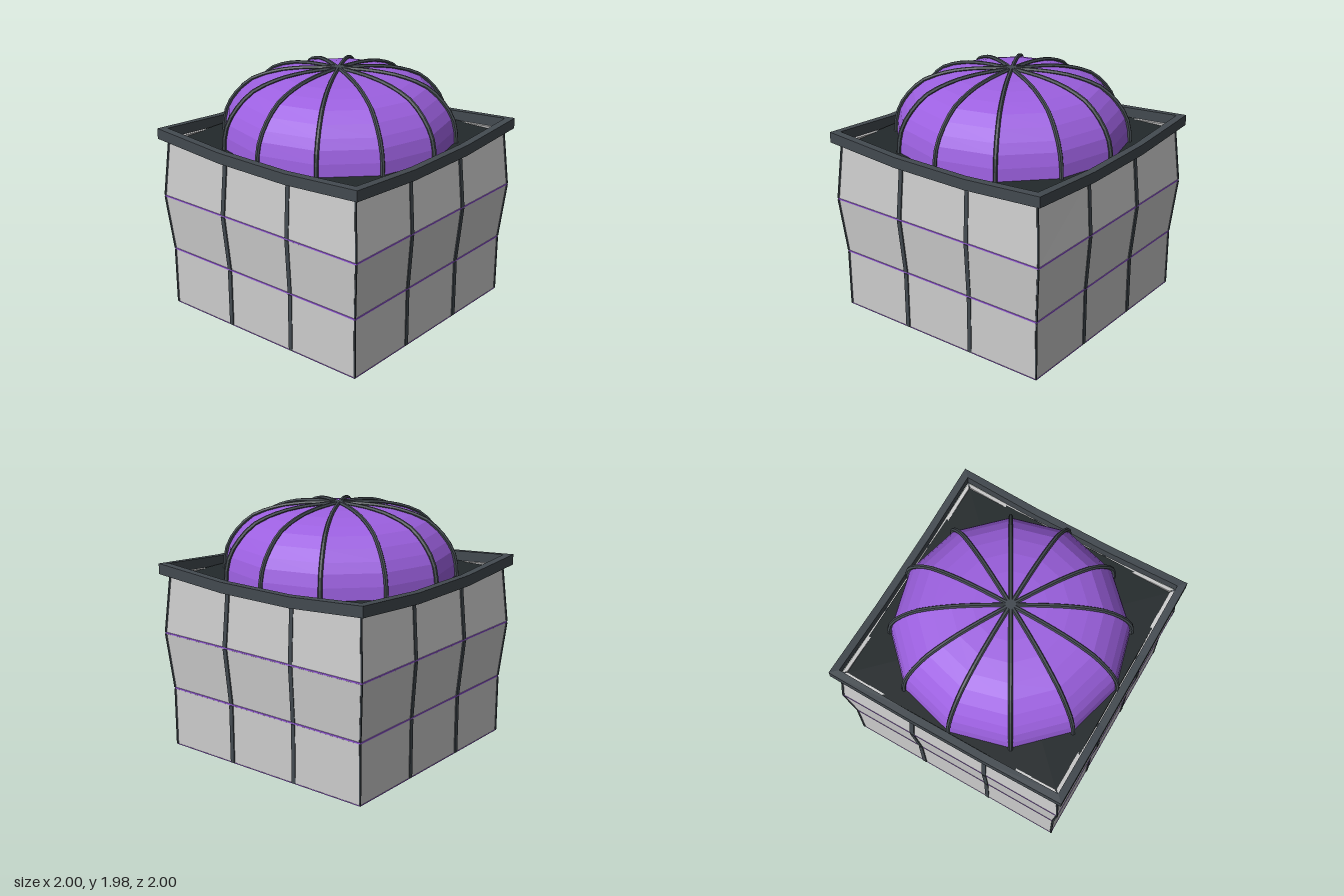
import * as THREE from 'three';

const mat = (color) => new THREE.MeshStandardMaterial({ color, flatShading: true });
const PANEL = mat(0xcccccc);
const FRAME = mat(0x42494f);
const DARK = mat(0x23292b);
const PURPLE = mat(0x9c60e0);

// Half width of the square body at each height
const PROFILE = [[0, 0.938], [0.485, 0.938], [0.95, 0.978], [1.43, 0.938]];
function halfWidth(y) {
  for (let i = 1; i < PROFILE.length; i++) {
    const [y0, w0] = PROFILE[i - 1], [y1, w1] = PROFILE[i];
    if (y <= y1) return w0 + (w1 - w0) * (y - y0) / (y1 - y0);
  }
  return PROFILE[PROFILE.length - 1][1];
}

// Rise of the cornice toward the corners; the middle third is level
const rise = (u) => 0.045 * Math.max(0, (Math.abs(u) - 1 / 3) * 1.5);

// Unit box whose corners are moved by a rule taking (across, up, depth) in 0..1
function warpedBox(name, material, rule, segments = 1) {
  const geo = new THREE.BoxGeometry(1, 1, 1, segments, 1, 1);
  const p = geo.attributes.position;
  for (let i = 0; i < p.count; i++) {
    p.setXYZ(i, ...rule(p.getX(i) + 0.5, p.getY(i) + 0.5, p.getZ(i) + 0.5));
  }
  geo.computeVertexNormals();
  const mesh = new THREE.Mesh(geo, material);
  mesh.name = name;
  return mesh;
}

// Slab lying on the wall: u across (-1..1), y up, d outward from the wall
function slab(name, material, [u0, u1], [y0, y1], [d0, d1], reachesRim = false) {
  return warpedBox(name, material, (a, b, c) => {
    const u = u0 + (u1 - u0) * a;
    const y = b < 0.5 ? y0 : y1 + (reachesRim ? rise(u) : 0);
    const w = halfWidth(y), d = d0 + (d1 - d0) * c;
    return [u * (w + d), y, w + d];
  });
}

function makeSide() {
  const side = new THREE.Group();
  const storeys = [[0.006, 0.477], [0.493, 0.942], [0.957, 1.39]];
  storeys.forEach((span, s) => {
    const top = s === 2;
    for (let i = 0; i < 3; i++) {
      const u = -1 + i * 2 / 3;
      side.add(slab('wallPanel', PANEL, [u + 0.006, u + 2 / 3 - 0.006], span, [-0.03, 0], top));
    }
    for (const u of [-1 / 3, 1 / 3]) {
      side.add(slab('wallRib', FRAME, [u - 0.019, u + 0.019], span, [-0.02, 0.008], top));
    }
    for (const u of [-1, 1]) {
      const range = u < 0 ? [-1, -0.988] : [0.988, 1];
      side.add(slab('cornerPost', FRAME, range, span, [-0.02, 0.006], top));
    }
  });
  for (const span of [[0, 0.006], [0.479, 0.491], [0.944, 0.955]]) {
    side.add(slab('purpleBand', PURPLE, [-1, 1], span, [-0.03, 0.003]));
  }
  // Mitred cornice beam
  side.add(warpedBox('cornice', FRAME, (a, b, c) => {
    const u = a * 2 - 1, w = c > 0.5 ? 1 : 0.942;
    return [u * w, (b > 0.5 ? 1.47 : 1.385) + rise(u), w];
  }, 3));
  return side;
}

export function createModel() {
  const model = new THREE.Group();
  model.name = 'domedBuilding';

  // Dark core, also the floor and the roof deck
  const corePoints = [new THREE.Vector2(0, 0)];
  for (const y of [0, 0.485, 0.95, 1.41]) {
    corePoints.push(new THREE.Vector2((halfWidth(y) - 0.012) * Math.SQRT2, y));
  }
  corePoints.push(new THREE.Vector2(0, 1.41));
  const core = new THREE.Mesh(new THREE.LatheGeometry(corePoints, 4, Math.PI / 4), DARK);
  core.name = 'core';
  model.add(core);

  for (let i = 0; i < 4; i++) {
    const side = makeSide();
    side.name = ['frontWall', 'leftWall', 'backWall', 'rightWall'][i];
    side.rotation.y = i * Math.PI / 2;
    model.add(side);
  }

  // Twelve-sided dome
  const arc = [[0.93, 1.41], [0.922, 1.51], [0.897, 1.607], [0.855, 1.682], [0.787, 1.766],
    [0.696, 1.843], [0.582, 1.893], [0.44, 1.932], [0.281, 1.954], [0.12, 1.963], [0, 1.964]];
  const domePoints = arc.map(([r, y], i) => new THREE.Vector2(r * 0.988, i ? y - 0.006 : y));
  const dome = new THREE.Mesh(new THREE.LatheGeometry(domePoints, 12), PURPLE);
  dome.name = 'dome';
  model.add(dome);

  // Ribs along the dome's edges
  const path = new THREE.CatmullRomCurve3(arc.map(([r, y]) => new THREE.Vector3(r, y, 0)));
  const ribGeo = new THREE.TubeGeometry(path, 14, 0.017, 6);
  for (let i = 0; i < 12; i++) {
    const rib = new THREE.Mesh(ribGeo, FRAME);
    rib.name = 'domeRib';
    rib.rotation.y = i * Math.PI / 6;
    model.add(rib);
  }

  const hub = new THREE.Mesh(new THREE.CylinderGeometry(0.04, 0.05, 0.03, 12), FRAME);
  hub.name = 'domeHub';
  hub.position.y = 1.964;
  model.add(hub);
  return model;
}
